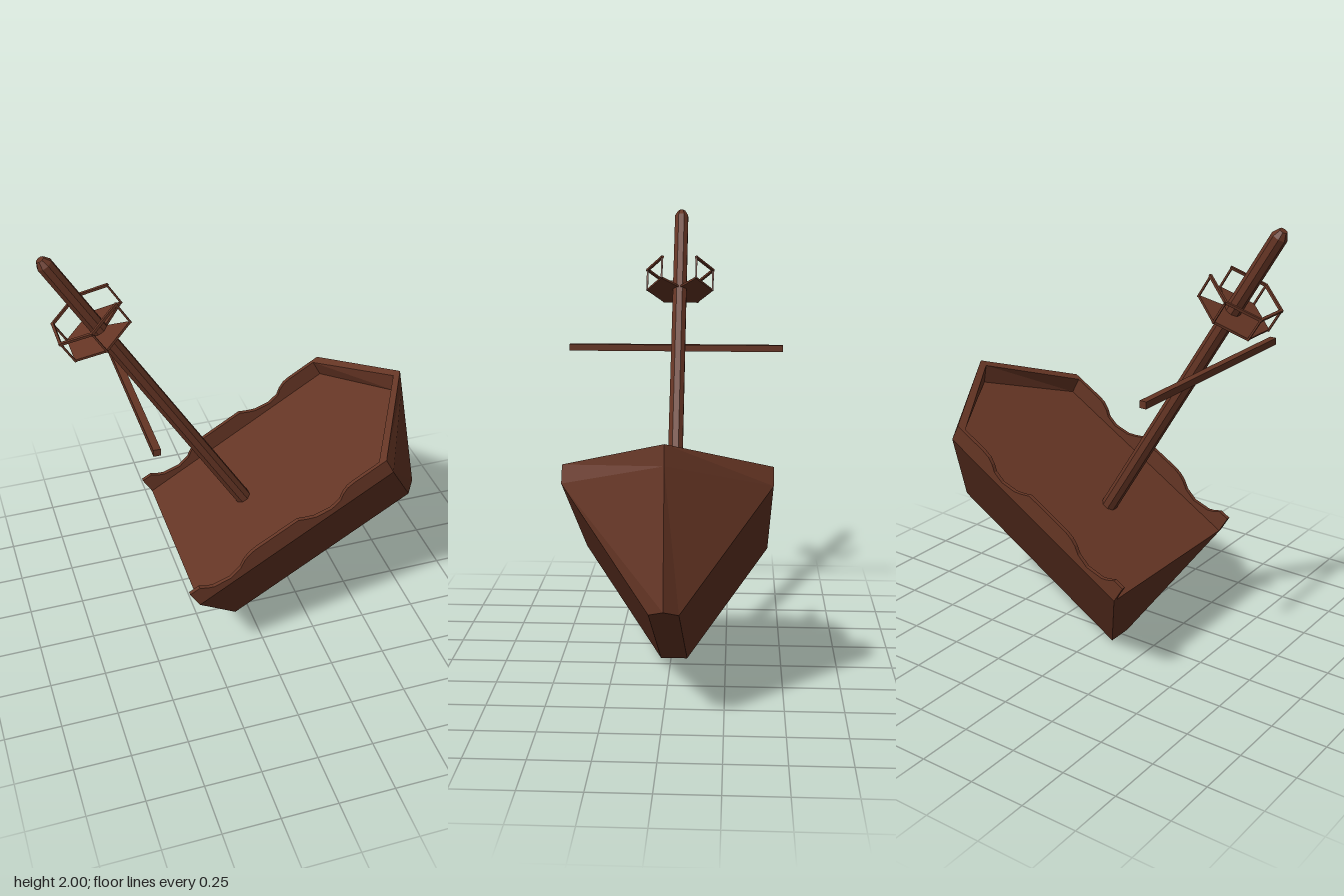
import * as THREE from 'three';

const wood = new THREE.MeshStandardMaterial({ color: 0x653524, flatShading: true, side: THREE.DoubleSide });
wood.name = 'brown wood';

function add(parent, name, geometry) {
  const mesh = new THREE.Mesh(geometry, wood);
  mesh.name = name;
  parent.add(mesh);
  return mesh;
}

// Closed solid between two matching outlines of [x, z] points at heights y0 and y1
function loft(lower, y0, upper, y1) {
  const pos = [];
  const put = (y, ...pts) => pts.forEach(([x, z]) => pos.push(x, y, z));
  const cap = (loop) => THREE.ShapeUtils.triangulateShape(loop.map(([x, z]) => new THREE.Vector2(x, z)), []);
  cap(lower).forEach(([a, b, c]) => put(y0, lower[a], lower[b], lower[c]));
  cap(upper).forEach(([a, b, c]) => put(y1, upper[a], upper[c], upper[b]));
  lower.forEach((p, i) => {
    const j = (i + 1) % lower.length;
    put(y0, p); put(y1, upper[j]); put(y0, lower[j]);
    put(y0, p); put(y1, upper[i], upper[j]);
  });
  const g = new THREE.BufferGeometry();
  g.setAttribute('position', new THREE.Float32BufferAttribute(pos, 3));
  g.computeVertexNormals();
  return g;
}

// Hull outline: straight sides and a pointed bow
const plan = (corner, half, tip) => [[0, -half], [corner, -half], [tip, 0], [corner, half], [0, half]];

// V-shaped rail outline around the bow
const chevron = (corner, half, tip, t) => [
  [corner, -half], [tip, 0], [corner, half],
  [corner - 0.03, half - t], [tip - 0.036, 0], [corner - 0.03, -half + t],
];

// Square bar between two points
function bar(parent, name, a, b, size) {
  const from = new THREE.Vector3(...a), to = new THREE.Vector3(...b);
  const mesh = add(parent, name, new THREE.BoxGeometry(size, size, from.distanceTo(to) + size));
  mesh.position.copy(from).add(to).multiplyScalar(0.5);
  mesh.lookAt(to);
}

export function createModel() {
  const model = new THREE.Group();
  model.name = 'sinkingShip';

  // Ship parts share one frame: x toward the bow, y up the mast
  const ship = new THREE.Group();
  ship.name = 'ship';

  // Hull with a flat deck and a narrow keel
  const deckY = 0.525, railY = 0.604;
  add(ship, 'hull', loft(plan(1.0, 0.06, 1.05), 0, plan(1.01, 0.425, 1.254), deckY));
  add(ship, 'bowBulwark', loft(
    chevron(1.01, 0.425, 1.254, 0.018), deckY,
    chevron(1.015, 0.425, 1.285, 0.018), railY));

  // Side bulwarks with worn, wavy tops
  const wave = [
    [0, 0.607], [0.05, 0.606], [0.075, 0.582], [0.1, 0.566], [0.18, 0.551], [0.24, 0.566],
    [0.275, 0.59], [0.305, 0.602], [0.34, 0.608], [0.563, 0.607], [0.595, 0.585], [0.631, 0.565],
    [0.704, 0.551], [0.757, 0.562], [0.785, 0.585], [0.816, 0.6], [0.85, 0.604], [1.015, railY],
  ];
  const side = new THREE.Shape([[1.01, deckY], [0, deckY], ...wave].map((p) => new THREE.Vector2(...p)));
  const sideGeometry = new THREE.ExtrudeGeometry(side, { depth: 0.018, bevelEnabled: false });
  add(ship, 'leftBulwark', sideGeometry).position.z = 0.407;
  add(ship, 'rightBulwark', sideGeometry).position.z = -0.425;

  // Octagonal mast with a chamfered top
  const mastX = 0.383, shaftTop = 2.062;
  const mast = add(ship, 'mast', new THREE.CylinderGeometry(0.034, 0.036, shaftTop - 0.51, 8));
  mast.position.set(mastX, (shaftTop + 0.51) / 2, 0);
  mast.rotation.y = Math.PI / 8;
  const tip = add(ship, 'mastTip', new THREE.CylinderGeometry(0.018, 0.034, 0.028, 8));
  tip.position.set(mastX, shaftTop + 0.014, 0);
  tip.rotation.y = Math.PI / 8;

  // Lookout: notched floor, corner posts and a rail left open toward the bow
  const lookout = new THREE.Group();
  lookout.name = 'lookout';
  const floorY = 1.68, topY = 1.783;
  const corners = [[0.508, 0.08], [0.373, 0.155], [0.24, 0.08], [0.24, -0.08], [0.373, -0.155], [0.508, -0.08]];
  const floor = [...corners, [0.41, 0]];
  add(lookout, 'lookoutFloor', loft(floor, floorY - 0.005, floor, floorY + 0.005));
  corners.forEach(([x, z], i) => {
    bar(lookout, 'lookoutPost', [x, floorY, z], [x, topY, z], 0.008);
    const next = corners[i + 1];
    if (next) bar(lookout, 'lookoutRail', [x, topY, z], [next[0], topY, next[1]], 0.011);
  });
  ship.add(lookout);

  ship.rotation.z = THREE.MathUtils.degToRad(31);
  ship.position.set(-0.07, 0.005, -0.014);
  model.add(ship);

  // Yard stays level beside the tilted mast
  add(model, 'yard', new THREE.BoxGeometry(0.03, 0.03, 1)).position.set(-0.517, 1.376, 0);
  return model;
}
